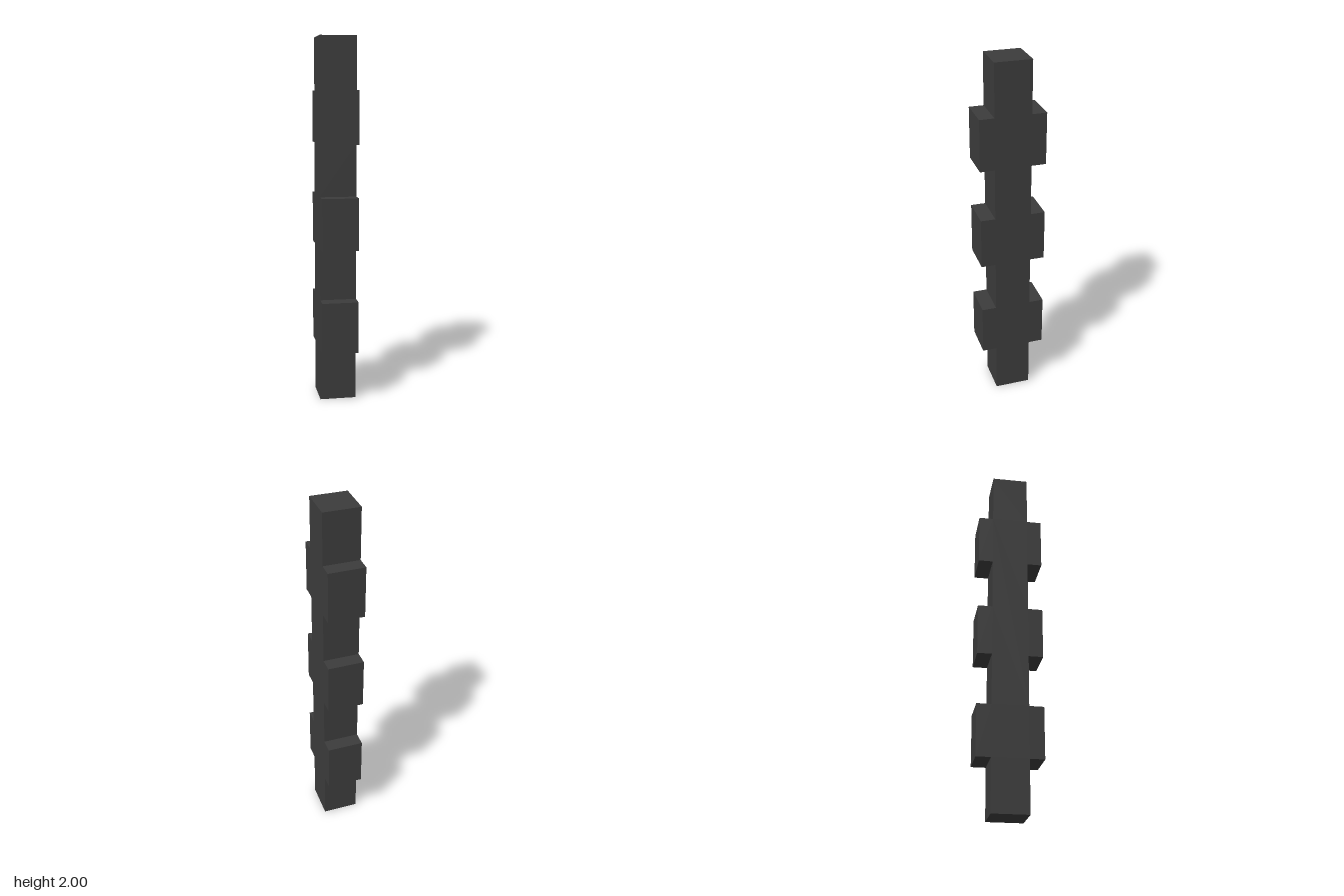
import * as THREE from 'three';

const HEIGHT = 2;
const WIDTH = 0.2;
const STEPS = 7; // equal segments, alternating narrow and wide
const NARROW = 0.1; // half depths
const WIDE = 0.18;

export function createModel() {
  const group = new THREE.Group();
  group.name = 'notchedBar';

  // Stepped side outline: up one edge, then mirrored down the other
  const edge = [];
  for (let i = 0; i < STEPS; i++) {
    const half = i % 2 ? WIDE : NARROW;
    edge.push(
      new THREE.Vector2(half, (i * HEIGHT) / STEPS),
      new THREE.Vector2(half, ((i + 1) * HEIGHT) / STEPS)
    );
  }
  const mirrored = edge.map((p) => new THREE.Vector2(-p.x, p.y)).reverse();

  // Extrude across the width, then turn the outline into the z-y plane
  const geometry = new THREE.ExtrudeGeometry(new THREE.Shape([...edge, ...mirrored]), {
    depth: WIDTH,
    bevelEnabled: false,
  });
  geometry.translate(0, 0, -WIDTH / 2).rotateY(-Math.PI / 2);

  const bar = new THREE.Mesh(
    geometry,
    new THREE.MeshStandardMaterial({ color: 0x3c3c3c })
  );
  bar.name = 'bar';
  group.add(bar);
  return group;
}
